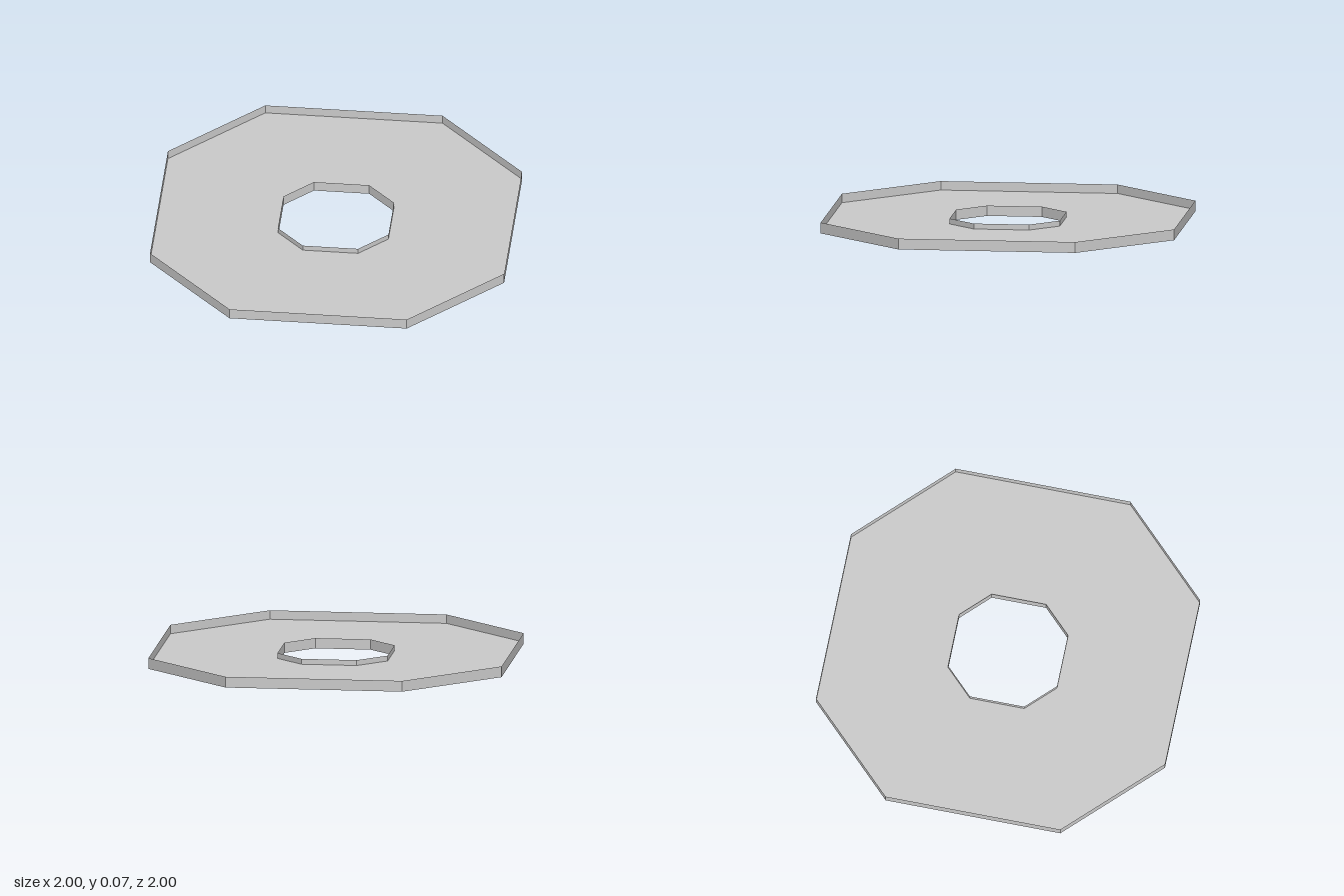
import * as THREE from 'three';

const material = new THREE.MeshStandardMaterial({ color: 0xcccccc, side: THREE.DoubleSide, flatShading: true });

// Corners of a rectangle (half sizes a, b) with its corners cut off by c, counter-clockwise
function cutCorners(a, b, c) {
  return [
    [a, c - b], [a, b - c], [a - c, b], [c - a, b],
    [-a, b - c], [-a, c - b], [c - a, -b], [a - c, -b],
  ].map(([x, y]) => new THREE.Vector2(x, y));
}

// Thin upright wall following a closed outline
function wall(points, y0, y1) {
  const pos = [];
  points.forEach((p, i) => {
    const q = points[(i + 1) % points.length];
    pos.push(p.x, y0, -p.y, q.x, y0, -q.y, q.x, y1, -q.y);
    pos.push(p.x, y0, -p.y, q.x, y1, -q.y, p.x, y1, -p.y);
  });
  const geo = new THREE.BufferGeometry();
  geo.setAttribute('position', new THREE.Float32BufferAttribute(pos, 3));
  geo.computeVertexNormals();
  return geo;
}

export function createModel() {
  const model = new THREE.Group();
  model.name = 'octagonalTray';
  const add = (name, geo, parent = model) => {
    const mesh = new THREE.Mesh(geo, material);
    mesh.name = name;
    parent.add(mesh);
    return mesh;
  };

  const floorY = 0.026;
  const outer = cutCorners(1, 1, 0.667);
  const inner = cutCorners(0.312, 0.312, 0.208);

  // Floor sheet with the central opening
  const floorShape = new THREE.Shape(outer);
  floorShape.holes.push(new THREE.Path(inner));
  add('floor', new THREE.ShapeGeometry(floorShape).rotateX(-Math.PI / 2).translate(0, floorY, 0));

  // Outer rim and the collar around the opening
  add('outerRim', wall(outer, 0.016, 0.074));
  add('openingCollar', wall(inner, 0, 0.055));

  // Pairs of shallow pads under the floor on each of the four sides
  const padGeo = new THREE.ExtrudeGeometry(new THREE.Shape(cutCorners(0.085, 0.06, 0.02)), {
    depth: 0.009, bevelEnabled: false,
  }).rotateX(-Math.PI / 2);
  for (let side = 0; side < 4; side++) {
    const pads = new THREE.Group();
    pads.name = 'padPair';
    pads.rotation.y = side * Math.PI / 2;
    for (const r of [0.535, 0.81]) add('pad', padGeo, pads).position.set(0, floorY - 0.0095, r);
    model.add(pads);
  }
  return model;
}
